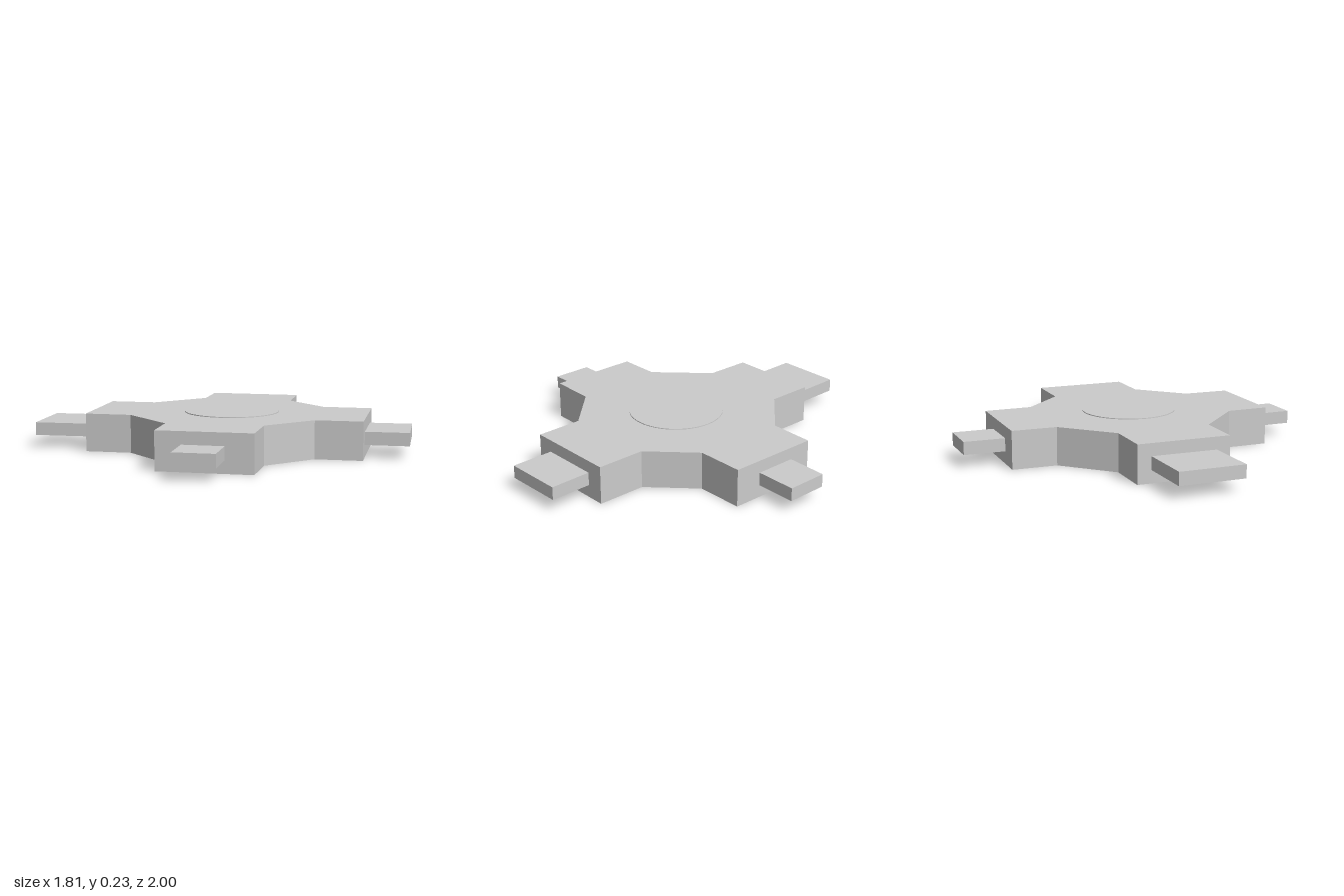
import * as THREE from 'three';

const material = new THREE.MeshStandardMaterial({ color: 0xcccccc, flatShading: true });

// Extrude an outline of [x, z] points upward from y0 to y1
function slab(name, outline, y0, y1) {
  const shape = new THREE.Shape(outline.map(([x, z]) => new THREE.Vector2(x, -z)));
  const geometry = new THREE.ExtrudeGeometry(shape, { depth: y1 - y0, bevelEnabled: false });
  geometry.rotateX(-Math.PI / 2).translate(0, y0, 0);
  const mesh = new THREE.Mesh(geometry, material);
  mesh.name = name;
  return mesh;
}

export function createModel() {
  const group = new THREE.Group();
  group.name = 'crossHub';

  // Cross-shaped body with four stubby arms
  group.add(slab('body', [
    [-0.275, -0.78], [-0.11, -0.56], [0.265, -0.505], [0.48, -0.66],
    [0.805, -0.215], [0.58, -0.045], [0.53, 0.29], [0.705, 0.525],
    [0.262, 0.855], [0.095, 0.635], [-0.255, 0.585], [-0.478, 0.745],
    [-0.805, 0.305], [-0.608, 0.155], [-0.555, -0.23], [-0.718, -0.45],
  ], 0, 0.225));

  // Connector tabs on the arm ends
  const tabs = {
    backRightTab: [[-0.655, -0.50], [-0.862, -0.765], [-0.55, -1.0], [-0.34, -0.73]],
    backLeftTab: [[0.56, -0.55], [0.757, -0.692], [0.905, -0.495], [0.708, -0.35]],
    frontLeftTab: [[0.62, 0.587], [0.775, 0.785], [0.497, 1.0], [0.34, 0.797]],
    frontRightTab: [[-0.72, 0.427], [-0.908, 0.57], [-0.765, 0.762], [-0.578, 0.62]],
  };
  for (const [name, outline] of Object.entries(tabs)) group.add(slab(name, outline, 0.075, 0.152));

  // Thin round plate on top
  const disc = new THREE.Mesh(new THREE.CylinderGeometry(0.28, 0.28, 0.01, 48), material);
  disc.name = 'topPlate';
  disc.position.set(-0.01, 0.225, 0.05);
  group.add(disc);

  return group;
}
